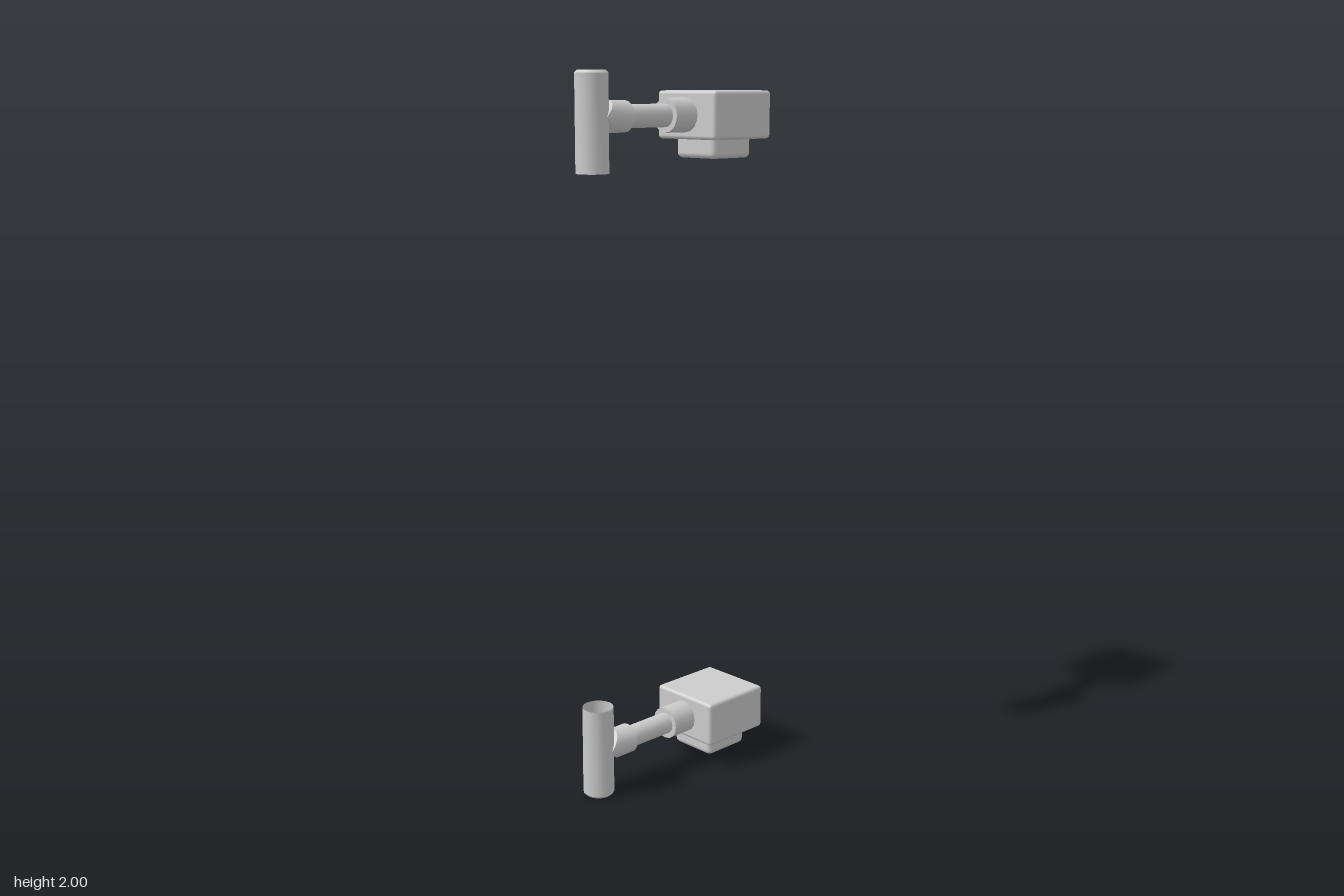
import * as THREE from 'three';
import { toCreasedNormals } from 'three/addons/utils/BufferGeometryUtils.js';
import { RoundedBoxGeometry } from 'three/addons/geometries/RoundedBoxGeometry.js';

const SIDES = 16;
const POST_Z = 0.256;
const grey = new THREE.MeshStandardMaterial({ color: 0xcccccc });
const greyOpen = new THREE.MeshStandardMaterial({ color: 0xcccccc, side: THREE.DoubleSide });

function part(name, geometry, material = grey) {
  const mesh = new THREE.Mesh(geometry, material);
  mesh.name = name;
  return mesh;
}

// Cylinder lying along z between two depths
function rod(radius, z0, z1) {
  return new THREE.CylinderGeometry(radius, radius, z1 - z0, SIDES)
    .rotateX(Math.PI / 2)
    .translate(0, 0, (z0 + z1) / 2);
}

// Collar whose front end is mitred to a horizontal ridge inside the post
function mitredCollar(radius, z0, z1) {
  const geometry = rod(radius, z0, z1);
  const p = geometry.attributes.position;
  for (let i = 0; i < p.count; i++) {
    if (p.getZ(i) > (z0 + z1) / 2) p.setZ(i, z1 - Math.abs(p.getY(i)));
  }
  return toCreasedNormals(geometry, Math.PI / 6);
}

// Hollow post: bevelled closed end at the top, open at the bottom
function postGeometry(radius, height) {
  const bevel = 0.007;
  const profile = [
    [radius, 0],
    [radius, height - bevel],
    [radius - bevel, height],
    [0, height],
  ].map(([x, y]) => new THREE.Vector2(x, y));
  return toCreasedNormals(new THREE.LatheGeometry(profile, SIDES), Math.PI / 6);
}

// One bracket, with y = 0 on the axis of its arm
function bracket(name, postBase, closedEndUp) {
  const group = new THREE.Group();
  group.name = name;
  const height = 0.262;

  const post = part('post', postGeometry(0.044, height), greyOpen);
  post.position.set(0, closedEndUp ? postBase : postBase + height, POST_Z);
  if (!closedEndUp) post.rotation.x = Math.PI;

  const block = part('mountBlock', new RoundedBoxGeometry(0.222, 0.13, 0.222, 2, 0.01));
  block.position.set(0, 0, -0.192);

  // Smaller foot, its upper edge sunk into the block
  const foot = part('blockFoot', new RoundedBoxGeometry(0.148, 0.08, 0.148, 2, 0.014));
  foot.position.set(0, -0.077, -0.19);

  group.add(
    post,
    part('postCollar', mitredCollar(0.042, 0.144, 0.24)),
    part('arm', rod(0.031, -0.02, 0.16)),
    part('blockCollar', rod(0.046, -0.1, -0.004)),
    block,
    foot,
  );
  return group;
}

export function createModel() {
  const model = new THREE.Group();
  model.name = 'bracketPair';

  const upper = bracket('upperBracket', -0.144, true);
  upper.position.y = 1.882;
  const lower = bracket('lowerBracket', -0.134, false);
  lower.position.y = 0.134;

  model.add(upper, lower);
  return model;
}
